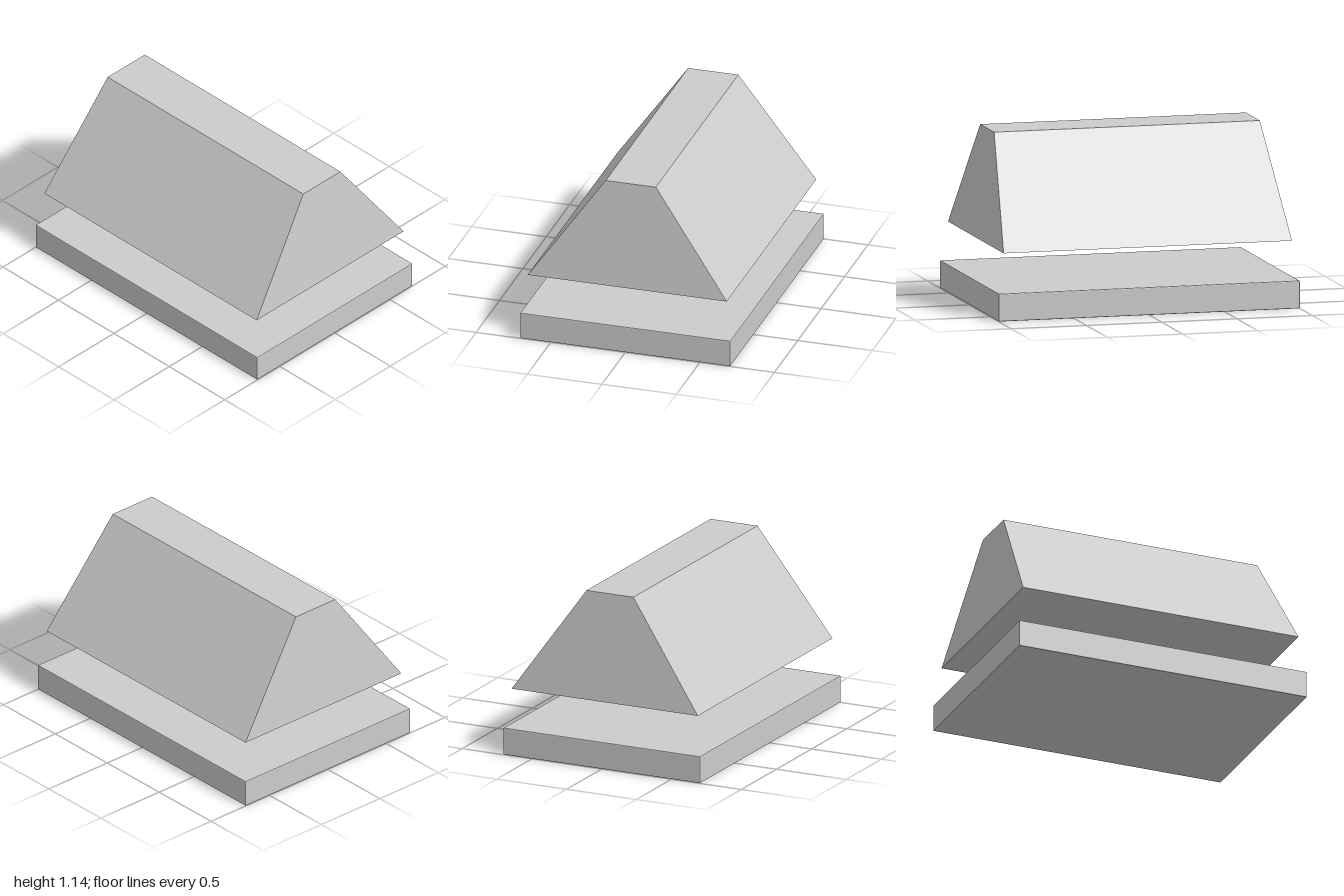
import * as THREE from 'three';
import { RoundedBoxGeometry } from 'three/addons/geometries/RoundedBoxGeometry.js';

export function createModel() {
  const model = new THREE.Group();
  model.name = 'hippedBlockOverSlab';

  const paleGrey = new THREE.MeshStandardMaterial({ color: 0xcccccc, flatShading: true });
  paleGrey.name = 'paleGrey';

  // Base slab with a very fine edge bevel
  const slab = new THREE.Mesh(new RoundedBoxGeometry(2, 0.18, 1.41, 1, 0.006), paleGrey);
  slab.name = 'baseSlab';
  slab.position.y = 0.09;
  model.add(slab);

  // Floating hipped block: a box whose upper corners are drawn in
  const bottom = { x: 0.957, y: 0.435, z: 0.667 };
  const top = { x: 0.882, y: 1.14, z: 0.168 };
  const geometry = new THREE.BoxGeometry(2, 2, 2);
  const p = geometry.attributes.position;
  for (let i = 0; i < p.count; i++) {
    const level = p.getY(i) > 0 ? top : bottom;
    p.setXYZ(i, p.getX(i) * level.x, level.y, p.getZ(i) * level.z);
  }
  geometry.computeVertexNormals();
  const block = new THREE.Mesh(geometry, paleGrey);
  block.name = 'hippedBlock';
  model.add(block);

  return model;
}
